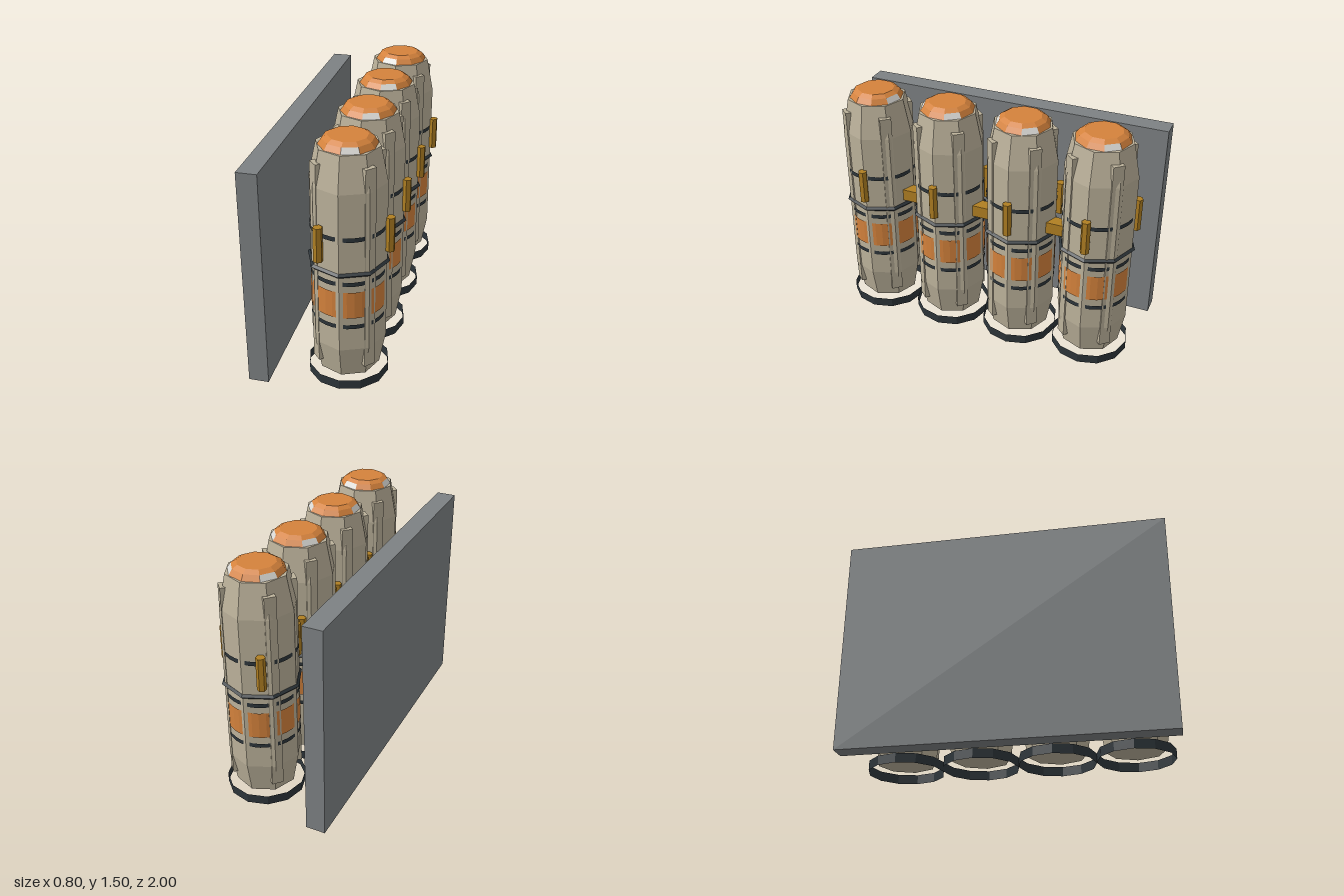
import * as THREE from 'three';

const flat = (name, color, extra = {}) => {
  const m = new THREE.MeshStandardMaterial({ color, flatShading: true, ...extra });
  m.name = name;
  return m;
};

export function createModel() {
  const tan = flat('tan shell', 0xbcb29b);
  const dark = flat('dark trim', 0x2d353a, { side: THREE.DoubleSide });
  const orange = flat('orange paint', 0xd4823c, { side: THREE.DoubleSide });
  const gold = flat('gold fittings', 0xb07f22);
  const grey = flat('grey wall', 0x7d8183);
  const white = flat('white paint', 0xdad9d5, { side: THREE.DoubleSide });

  const root = new THREE.Group();
  root.name = 'tankBank';

  function add(parent, name, geometry, material, x = 0, y = 0, z = 0) {
    const mesh = new THREE.Mesh(geometry, material);
    mesh.name = name;
    mesh.position.set(x, y, z);
    parent.add(mesh);
    return mesh;
  }
  const lathe = (points, sides, start = 0, length = Math.PI * 2) =>
    new THREE.LatheGeometry(points.map(p => new THREE.Vector2(...p)), sides, start, length);

  // Upright slab behind the row
  add(root, 'wall', new THREE.BoxGeometry(0.12, 1.35, 2), grey, -0.34, 0.675, 0);

  // Eight-sided shell with tapered ends
  const bodyGeo = lathe([[0, 0.06], [0.185, 0.06], [0.222, 0.26], [0.222, 1.25],
    [0.18, 1.455], [0, 1.455]], 8);
  const finGeo = new THREE.BoxGeometry(0.07, 1.255, 0.09);
  const clipGeo = new THREE.CylinderGeometry(0.028, 0.028, 0.21, 6);
  const baseGeo = new THREE.CylinderGeometry(0.24, 0.24, 0.06, 12, 1, true);
  const clampGeo = new THREE.TorusGeometry(0.225, 0.014, 4, 8).rotateX(Math.PI / 2);
  const band = h => new THREE.CylinderGeometry(0.2155, 0.2155, h, 32, 1, true);
  const stripeGeo = band(0.027);
  const panelGeo = band(0.17);
  const capTopGeo = lathe([[0.143, 1.487], [0.112, 1.505], [0, 1.505]], 10);

  function makeTank(z, index) {
    const tank = new THREE.Group();
    tank.name = 'tank';
    tank.position.set(0.135, 0, z);
    root.add(tank);

    add(tank, 'shell', bodyGeo, tan);
    add(tank, 'baseRing', baseGeo, dark, 0, 0.03, 0);
    add(tank, 'clampRing', clampGeo, dark, 0, 0.76, 0);

    // Painted bands, interrupted where the shell corners stand proud
    for (const y of [0.422, 0.703, 0.982]) add(tank, 'darkStripe', stripeGeo, dark, 0, y, 0);
    add(tank, 'orangeBand', panelGeo, orange, 0, 0.565, 0);

    // Straight corner fins, mostly sunk into the shell
    for (const deg of [48, 132, -48, -132]) {
      const a = THREE.MathUtils.degToRad(deg);
      const fin = add(tank, 'fin', finGeo, tan, Math.sin(a) * 0.1685, 0.7575, Math.cos(a) * 0.1685);
      fin.rotation.y = a;
    }

    // Three clips spaced evenly round the shell
    for (let i = 0; i < 3; i++) {
      const a = i * Math.PI * 2 / 3;
      add(tank, 'clip', clipGeo, gold, Math.cos(a) * 0.237, 0.935, Math.sin(a) * 0.237);
    }

    // Domed cap with a patchy orange and white rim
    add(tank, 'capTop', capTopGeo, orange);
    const step = Math.PI / 5;
    for (let i = 0; i < 10; i++) {
      const isWhite = (i * 3 + index) % 10 < 3;
      add(tank, 'capRim', lathe([[0.166, 1.453], [0.143, 1.487]], 1, i * step, step),
        isWhite ? white : orange);
    }
  }
  [0.72, 0.24, -0.24, -0.72].forEach(makeTank);

  // Blocks joining neighbouring tanks
  for (const z of [-0.48, 0, 0.48]) {
    add(root, 'connector', new THREE.BoxGeometry(0.08, 0.075, 0.105), gold, 0.177, 0.828, z);
  }
  return root;
}
